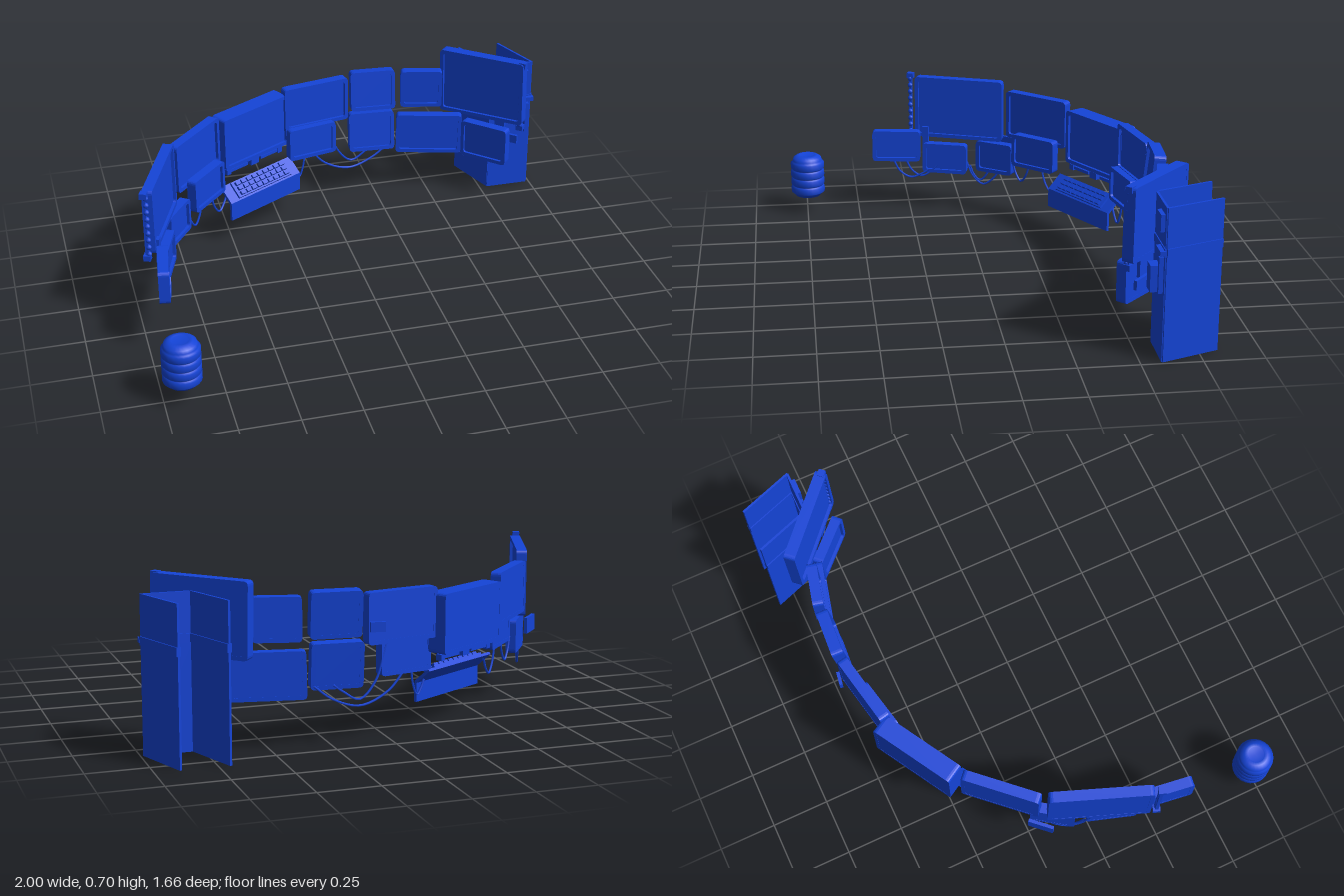
import * as THREE from 'three';

const blue = new THREE.MeshStandardMaterial({ color: 0x1444d8, side: THREE.DoubleSide });
const rad = THREE.MathUtils.degToRad;

function add(parent, name, geometry, x = 0, y = 0, z = 0) {
  const mesh = new THREE.Mesh(geometry, blue);
  mesh.name = name;
  mesh.position.set(x, y, z);
  parent.add(mesh);
  return mesh;
}
const box = (w, h, d) => new THREE.BoxGeometry(w, h, d);

function group(parent, name, x, y, z, yaw = 0) {
  const g = new THREE.Group();
  g.name = name;
  g.position.set(x, y, z);
  g.rotation.set(0, rad(yaw), 0, 'YXZ');
  parent.add(g);
  return g;
}

function roundedRect(path, w, h, r) {
  const x = w / 2, y = h / 2;
  path.moveTo(-x + r, -y);
  path.lineTo(x - r, -y);
  path.quadraticCurveTo(x, -y, x, -y + r);
  path.lineTo(x, y - r);
  path.quadraticCurveTo(x, y, x - r, y);
  path.lineTo(-x + r, y);
  path.quadraticCurveTo(-x, y, -x, y - r);
  path.lineTo(-x, -y + r);
  path.quadraticCurveTo(-x, -y, -x + r, -y);
  return path;
}

// Monitor: rounded bezel around a recessed panel, with a plain back
function screen(parent, name, [x, y, z, yaw, w, h, depth = 0.045, tilt = 0, roll = 0]) {
  const g = group(parent, name, x, y, z, yaw);
  g.rotation.x = rad(tilt);
  g.rotation.z = rad(roll);
  const frame = roundedRect(new THREE.Shape(), w, h, 0.018);
  frame.holes.push(roundedRect(new THREE.Path(), w - 0.034, h - 0.034, 0.012));
  const bezel = new THREE.ExtrudeGeometry(frame, { depth, bevelEnabled: false, curveSegments: 4 });
  add(g, 'bezel', bezel, 0, 0, -depth / 2);
  add(g, 'panel', box(w - 0.03, h - 0.03, depth - 0.014), 0, 0, -0.006);
}

// Hanging cable between two points, with its lowest height given
function cable(parent, a, b, low) {
  const p = new THREE.Vector3(...a), q = new THREE.Vector3(...b);
  const points = [0, 0.2, 0.5, 0.8, 1].map((t) => {
    const v = p.clone().lerp(q, t);
    v.y = THREE.MathUtils.lerp(v.y, low, 1 - (2 * t - 1) ** 2);
    return v;
  });
  add(parent, 'cable', new THREE.TubeGeometry(new THREE.CatmullRomCurve3(points), 20, 0.005, 6));
}

// Vertical rail with end caps and a row of knobs
function knobRail(parent, name, x, y, z, yaw, h) {
  const g = group(parent, name, x, y, z, yaw);
  add(g, 'rail', box(0.014, h, 0.014));
  for (let i = 0; i < 9; i++) {
    add(g, 'knob', new THREE.SphereGeometry(0.012, 8, 6), 0, (i / 8 - 0.5) * h * 0.9, 0.008);
  }
  for (const s of [-1, 1]) add(g, 'railCap', box(0.032, 0.025, 0.03), 0, s * h / 2, 0);
}

export function createModel() {
  const model = new THREE.Group();
  model.name = 'monitorArc';

  // x, y, z, yaw, width, height, depth, tilt, roll
  const upper = [
    [-0.872, 0.503, 0.01, 69, 0.43, 0.295],
    [-0.663, 0.5, -0.34, 47, 0.335, 0.225],
    [-0.363, 0.46, -0.582, 30, 0.385, 0.25, 0.085],
    [-0.04, 0.508, -0.68, 11, 0.32, 0.21],
    [0.24, 0.535, -0.7, -4, 0.21, 0.19, 0.05, -6],
    [0.473, 0.525, -0.68, -14, 0.195, 0.18],
    [0.75, 0.54, -0.595, -42, 0.42, 0.31, 0.05, 0, 1],
  ];
  const lower = [
    [-0.913, 0.315, 0.312, 82, 0.23, 0.15],
    [-0.868, 0.257, 0.08, 72, 0.215, 0.145],
    [-0.785, 0.277, -0.155, 55, 0.19, 0.15],
    [-0.622, 0.345, -0.32, 47, 0.235, 0.155],
    [-0.07, 0.34, -0.64, 12, 0.235, 0.155],
    [0.232, 0.328, -0.688, -4, 0.215, 0.19, 0.045, -6],
    [0.507, 0.297, -0.655, -14, 0.31, 0.195, 0.045, 0, -1],
    [0.748, 0.278, -0.53, -45, 0.235, 0.18],
  ];
  upper.forEach((s) => screen(model, 'upperScreen', s));
  lower.forEach((s) => screen(model, 'lowerScreen', s));

  // Control console: open-backed shell with an apron and a sloped key deck
  const desk = group(model, 'console', -0.3225, 0, -0.475, 30);
  const section = [[0, 0.12], [0, 0.207], [-0.07, 0.267], [-0.078, 0.258], [-0.012, 0.2], [-0.012, 0.12]];
  const shell = new THREE.ExtrudeGeometry(
    new THREE.Shape(section.map((p) => new THREE.Vector2(...p))), { depth: 0.42, bevelEnabled: false });
  shell.translate(0, 0, -0.21).rotateY(-Math.PI / 2);
  add(desk, 'consoleShell', shell);
  const deck = group(desk, 'keyDeck', 0, 0.241, -0.035);
  deck.rotation.x = Math.atan2(0.06, 0.07);
  add(deck, 'keyTray', box(0.32, 0.014, 0.08));
  for (let r = 0; r < 3; r++) {
    for (let c = 0; c < 9; c++) {
      add(deck, 'key', box(0.026, 0.016, 0.017), (c - 4) * 0.033, 0.012, (r - 1) * 0.024);
    }
  }

  // Speaker bar hung below the centre screen
  const bar = group(model, 'speakerBar', -0.363, 0.313, -0.565, 30);
  for (const s of [-1, 1]) {
    add(bar, 'barHalf', box(0.12, 0.014, 0.02), s * 0.1, 0, 0);
    add(bar, 'barEnd', box(0.025, 0.026, 0.028), s * 0.155, 0, 0);
  }
  add(bar, 'barCentre', box(0.045, 0.03, 0.03));

  // Cables slung beneath the screens
  [
    [[-0.9, 0.25, 0.33], [-0.87, 0.2, 0.16], 0.16],
    [[-0.9, 0.25, 0.27], [-0.87, 0.22, 0.12], 0.165],
    [[-0.86, 0.25, -0.02], [-0.79, 0.22, -0.18], 0.13],
    [[-0.85, 0.22, -0.04], [-0.81, 0.22, -0.13], 0.15],
    [[-0.725, 0.28, -0.23], [-0.65, 0.28, -0.3], 0.185],
    [[-0.6, 0.28, -0.35], [-0.51, 0.24, -0.44], 0.165],
    [[-0.17, 0.22, -0.61], [-0.1, 0.3, -0.64], 0.16],
    [[0.02, 0.4, -0.68], [0.25, 0.25, -0.7], 0.18],
    [[-0.08, 0.29, -0.65], [0.33, 0.25, -0.7], 0.15],
    [[0.64, 0.23, -0.62], [0.7, 0.23, -0.58], 0.18],
  ].forEach((c) => cable(model, ...c));

  // Knob rails beside the outermost screens
  knobRail(model, 'rightEndRail', -0.965, 0.505, 0.235, 69, 0.29);
  knobRail(model, 'leftEndRail', 0.895, 0.53, -0.46, -42, 0.32);

  // Support arms and back plates: x, y, z, yaw, width, height
  for (const [x, y, z, yaw, w, h] of [
    [-0.82, 0.33, -0.23, 47, 0.11, 0.07],
    [-0.91, 0.33, 0.17, 69, 0.03, 0.15],
    [0.08, 0.48, -0.745, -9, 0.06, 0.04],
    [0.82, 0.36, -0.53, -42, 0.05, 0.12],
    [0.85, 0.29, -0.53, -42, 0.12, 0.04],
  ]) {
    add(model, 'mountPlate', box(w, h, 0.014), x, y, z).rotation.y = rad(yaw);
  }

  // Cabinet: front door and two skewed side panels, open behind
  const cabinet = group(model, 'cabinet', 0, 0, 0);
  const sideYaw = Math.atan2(0.087, 0.24);
  for (const x of [0.746, 0.941]) {
    add(cabinet, 'sidePanel', box(0.01, 0.64, 0.256), x, 0.32, -0.707).rotation.y = sideYaw;
    add(cabinet, 'sideSeam', box(0.02, 0.035, 0.256), x, 0.457, -0.707).rotation.y = sideYaw;
  }
  add(cabinet, 'lowerDoor', box(0.197, 0.44, 0.01), 0.886, 0.22, -0.588);
  add(cabinet, 'upperDoor', box(0.197, 0.165, 0.01), 0.886, 0.557, -0.588);
  add(cabinet, 'doorSeam', box(0.205, 0.035, 0.018), 0.886, 0.457, -0.588);
  add(cabinet, 'handle', box(0.08, 0.02, 0.025), 0.955, 0.457, -0.573);
  add(cabinet, 'handleBar', box(0.018, 0.15, 0.018), 0.965, 0.36, -0.572);
  add(cabinet, 'noticePanel', box(0.07, 0.07, 0.018), 0.93, 0.57, -0.575);
  add(cabinet, 'dispenser', box(0.06, 0.11, 0.04), 0.88, 0.32, -0.565);

  // Banded barrel standing apart
  const profile = [[0, 0.08], [0.06, 0.08], [0.066, 0.092]];
  for (let i = 0; i < 4; i++) {
    const y = 0.094 + i * 0.04;
    profile.push([0.073, y], [0.08, y + 0.006], [0.08, y + 0.03], [0.073, y + 0.036]);
  }
  profile.push([0.07, 0.258], [0.066, 0.27], [0.05, 0.28], [0.035, 0.282], [0.035, 0.276], [0, 0.276]);
  const barrel = new THREE.LatheGeometry(profile.map((p) => new THREE.Vector2(...p)), 24);
  add(model, 'barrel', barrel, -0.92, 0, 0.745);

  return model;
}
